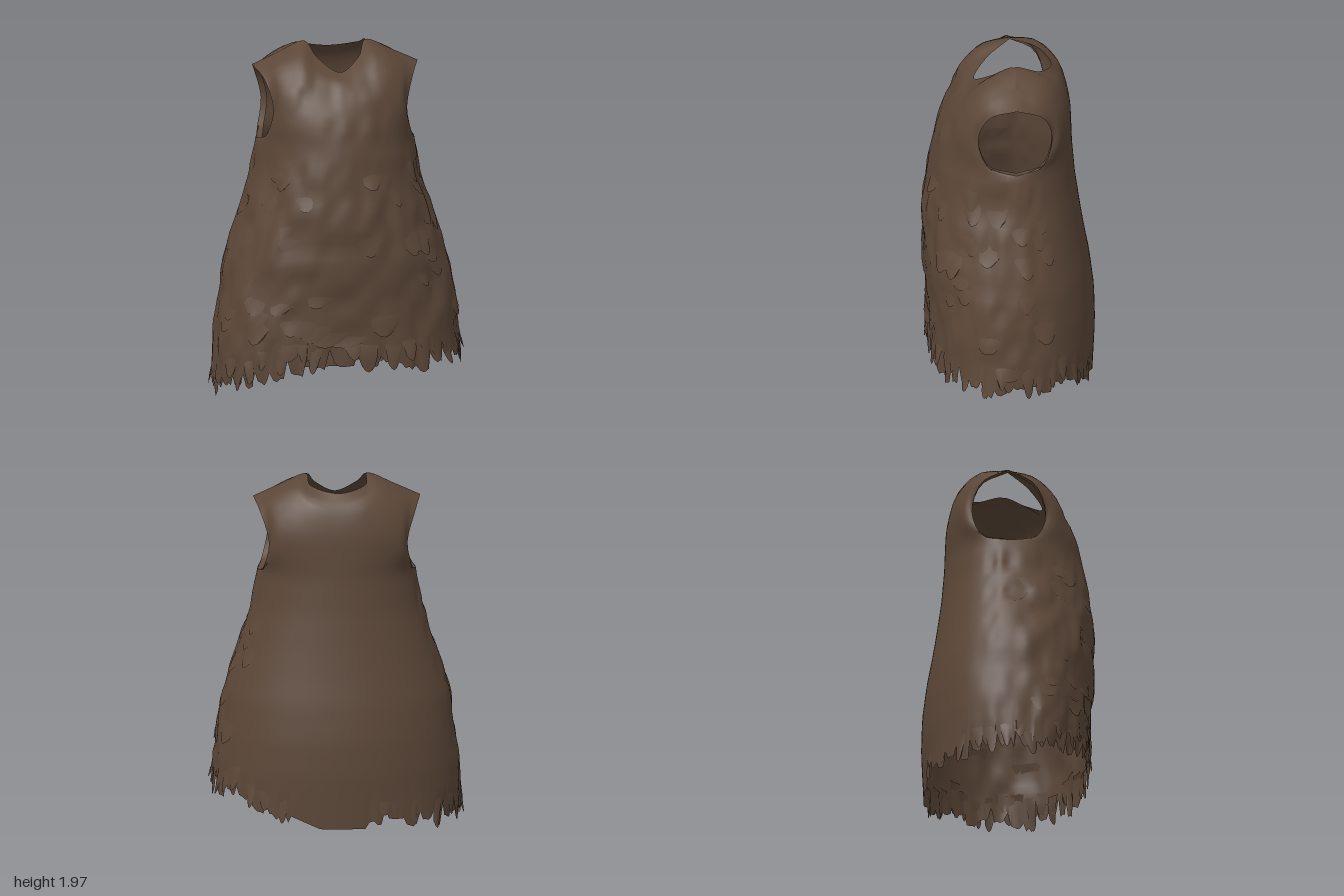
import * as THREE from 'three';
import { toCreasedNormals, mergeGeometries } from 'three/addons/utils/BufferGeometryUtils.js';

const V = (x, y, z) => new THREE.Vector3(x, y, z);
const { lerp, clamp, smoothstep } = THREE.MathUtils;
const YOKE = 1.45; // height where the armholes begin
const COLS = 192;

// Small seeded random
let seed = 7;
const rand = (a = 0, b = 1) => {
  seed = (seed * 16807) % 2147483647;
  return a + (b - a) * (seed / 2147483647);
};

// Smooth lattice noise for crumpled hide, between -1 and 1
const LATTICE = Array.from({ length: 1024 }, () => rand(-1, 1));
function noise(u, v) {
  const i = Math.floor(u), j = Math.floor(v);
  const s = smoothstep(u - i, 0, 1), t = smoothstep(v - j, 0, 1);
  const at = (x, y) => LATTICE[(x & 31) + 32 * (y & 31)];
  return lerp(lerp(at(i, j), at(i + 1, j), s), lerp(at(i, j + 1), at(i + 1, j + 1), s), t);
}

// Body profile: height, half width, front depth, back depth
const PROFILE = [
  [0, 0.68, 0.43, -0.465], [0.2, 0.695, 0.445, -0.475], [0.36, 0.685, 0.45, -0.482],
  [0.55, 0.662, 0.458, -0.477], [0.75, 0.632, 0.47, -0.452], [0.9, 0.585, 0.478, -0.424],
  [1.05, 0.535, 0.477, -0.4], [1.25, 0.472, 0.458, -0.372], [YOKE, 0.44, 0.42, -0.355],
];

// Point on the body at an angle (0 = front, PI/2 = left side) and height
function ring(a, y, out = 0) {
  let i = 0;
  while (i < PROFILE.length - 2 && y > PROFILE[i + 1][0]) i++;
  const p = PROFILE[i], q = PROFILE[i + 1];
  const t = clamp((y - p[0]) / (q[0] - p[0]), 0, 1);
  const [w, f, b] = [1, 2, 3].map((k) => lerp(p[k], q[k], t));
  const s = Math.sin(a), c = Math.cos(a);
  const mid = lerp(0.015, -0.02, clamp(y / YOKE, 0, 1));
  // The front is squarer towards the hem
  const power = c > 0 ? lerp(0.84, 0.96, smoothstep(y, 0.3, 1.2)) : 0.97;
  const soft = (n) => Math.sign(n) * Math.abs(n) ** power;
  const depth = c > 0 ? f - mid : mid - b;
  return V((w + out) * soft(s), y, mid + (depth + out) * soft(c));
}

// Surface from a grid of points, u running right and v running up
function grid(nu, nv, point) {
  const pos = [], index = [];
  for (let j = 0; j <= nv; j++)
    for (let i = 0; i <= nu; i++) pos.push(...point(i, j).toArray());
  for (let j = 0; j < nv; j++)
    for (let i = 0; i < nu; i++) {
      const a = j * (nu + 1) + i, d = a + nu + 1;
      index.push(a, a + 1, d + 1, a, d + 1, d);
    }
  const g = new THREE.BufferGeometry();
  g.setAttribute('position', new THREE.Float32BufferAttribute(pos, 3));
  g.setIndex(index);
  return g.toNonIndexed();
}

// Columns of the yoke from centre to armhole, from chest up to neck or shoulder
const FRONT = [
  [[0, 1.58, 0.387], [0, 1.71, 0.33], [0, 1.8, 0.255], [0, 1.845, 0.19]],
  [[0.16, 1.58, 0.37], [0.15, 1.73, 0.305], [0.135, 1.85, 0.215], [0.115, 1.915, 0.105]],
  [[0.285, 1.58, 0.31], [0.265, 1.76, 0.265], [0.22, 1.915, 0.16], [0.175, 1.99, -0.02]],
  [[0.36, 1.57, 0.245], [0.345, 1.73, 0.23], [0.35, 1.87, 0.13], [0.32, 1.93, -0.02]],
  [[0.41, 1.485, 0.13], [0.375, 1.64, 0.19], [0.415, 1.8, 0.13], [0.465, 1.865, -0.02]],
];
const BACK = [
  [[0, 1.58, -0.35], [0, 1.72, -0.34], [0, 1.85, -0.3], [0, 1.92, -0.24]],
  [[0.15, 1.58, -0.338], [0.15, 1.73, -0.328], [0.15, 1.88, -0.275], [0.15, 1.95, -0.165]],
  [[0.275, 1.58, -0.302], [0.27, 1.75, -0.295], [0.235, 1.93, -0.2], [0.175, 1.99, -0.02]],
  [[0.36, 1.57, -0.26], [0.36, 1.73, -0.255], [0.37, 1.875, -0.16], [0.32, 1.93, -0.02]],
  [[0.415, 1.485, -0.16], [0.385, 1.64, -0.22], [0.43, 1.8, -0.17], [0.465, 1.865, -0.02]],
];

function yoke(keys, start, rough) {
  const dir = start < 0 ? 1 : -1, nu = COLS / 2, nv = 14;
  const columns = [];
  for (let k = -4; k <= 4; k++) {
    const side = Math.sign(k) * dir;
    const pts = keys[Math.abs(k)].map(([x, y, z]) => V(side * x, y, z));
    const base = ring(start + ((k + 4) / 8) * Math.PI, YOKE);
    columns.push(new THREE.CatmullRomCurve3([base, ...pts]));
  }
  const rows = [];
  for (let j = 0; j <= nv; j++)
    rows.push(new THREE.CatmullRomCurve3(columns.map((c) => c.getPoint(j / nv))));
  return grid(nu, nv, (i, j) => {
    if (j === 0) return ring(start + (i / nu) * Math.PI, YOKE);
    const p = rows[j].getPoint(i / nu);
    p.z += rough * Math.sin((Math.PI * j) / nv) * Math.sin((Math.PI * i) / nu) * noise(p.x * 14, p.y * 11);
    return p;
  });
}

// Narrow turned-in edge of one armhole
function armholeRim(side) {
  const edge = [FRONT, BACK].map((keys) => {
    const start = ring(Math.PI / 2, YOKE);
    return new THREE.CatmullRomCurve3([start, ...keys[4].map((p) => V(...p))]);
  });
  const nu = 28;
  return grid(nu, 1, (i, j) => {
    const p = i <= nu / 2 ? edge[0].getPoint((2 * i) / nu) : edge[1].getPoint(2 - (2 * i) / nu);
    return V(side * (p.x - 0.035 * j), p.y, p.z);
  });
}

// Hem height: higher at the front and left, lower at the back and right
const hemHeight = (a) => 0.05 + 0.14 * smoothstep(Math.sin(a) + 0.8 * Math.cos(a), -0.5, 0.5);
// The middle of the back is left untorn
const torn = (a) => !(Math.cos(a) < 0 && Math.sin(a) > -0.22 && Math.sin(a) < 0.4);

// Crumpled hide over the front and sides, fading out at the back and the yoke
function crumple(a, y) {
  const turn = Math.atan2(Math.sin(a), Math.cos(a));
  const fade = smoothstep(Math.cos(a), -0.6, 0) * (1 - smoothstep(y, 1.3, YOKE));
  return 0.012 * fade * noise(turn * 7, y * 10);
}

function skirt() {
  const nv = 26, hem = [];
  let tip = 0, notch = 0;
  for (let i = 0; i < COLS; i++) {
    const a = -Math.PI / 2 + (i / COLS) * Math.PI * 2, step = i % 5;
    if (step === 0) {
      tip = rand(-0.03, 0.04);
      notch = rand(0.04, 0.12);
    }
    const cut = step === 0 ? notch : step === 1 ? notch * 0.35 : rand(0, 0.03);
    const smooth = 0.06 + 0.3 * Math.max(0, Math.sin(a) - 0.15);
    const y = torn(a) ? Math.max(0.005, hemHeight(a) + tip + cut) : smooth;
    hem.push(ring(a, y, torn(a) ? 0.012 * noise(i * 0.4, 3) : 0));
  }
  return grid(COLS, nv, (i, j) => {
    if (j === 0) return hem[i % COLS];
    const a = -Math.PI / 2 + ((i % COLS) / COLS) * Math.PI * 2;
    const y = lerp(hemHeight(a) + 0.18, YOKE, (j - 1) / (nv - 1));
    return ring(a, y, crumple(a, y));
  });
}

// Hanging scrap of hide: rooted at the top, lifted at the tip
function scrap(a, top, width, height, lift, skew, taper) {
  return grid(4, 3, (i, j) => {
    const s = i / 2 - 1, t = 1 - j / 3;
    const at = a + s * width * (1 - taper * t * t) + skew * t;
    const y = Math.max(0.005, top - height * t * (1 - 0.2 * s * s));
    return ring(at, y, crumple(at, y) - 0.006 * (1 - t) + lift * t * (1 - 0.6 * s * s));
  });
}

export function createModel() {
  const hide = new THREE.MeshStandardMaterial({ color: 0x5c4738, side: THREE.DoubleSide });
  hide.name = 'brown hide';
  const model = new THREE.Group();
  model.name = 'raggedTunic';
  const add = (name, parts, crease) => {
    const mesh = new THREE.Mesh(toCreasedNormals(mergeGeometries(parts), crease), hide);
    mesh.name = name;
    model.add(mesh);
  };

  // Body with open neck, armholes and hem
  add('tunicBody', [skirt(), yoke(FRONT, -Math.PI / 2, 0.014), yoke(BACK, Math.PI / 2, 0)], 0.8);
  add('armholeRims', [armholeRim(1), armholeRim(-1)], 0.8);

  // Tattered fringe over the hem
  const fringe = [];
  for (let i = 0; i < 40; i++) {
    const a = (i / 40) * Math.PI * 2 + rand(-0.04, 0.04);
    if (!torn(a)) continue;
    const top = hemHeight(a) + rand(0.16, 0.24);
    fringe.push(scrap(a, top, rand(0.05, 0.08), rand(0.13, 0.2), rand(0.006, 0.022), rand(-0.04, 0.04), 0.4));
  }
  add('hemFringe', fringe, 0.7);

  // Loose scraps over the front and sides, thicker on the left
  const scraps = [];
  for (let i = 0; i < 50; i++) {
    const a = rand(-1.5, 2.0);
    const top = 0.4 + rand() ** 1.2 * 1.02;
    const lift = a > 0.2 ? rand(0.008, 0.024) : rand(0.005, 0.012);
    scraps.push(scrap(a, top, rand(0.09, 0.17), rand(0.1, 0.18), lift, rand(-0.1, 0.1), 0.4));
  }
  add('looseScraps', scraps, 0.7);
  return model;
}
